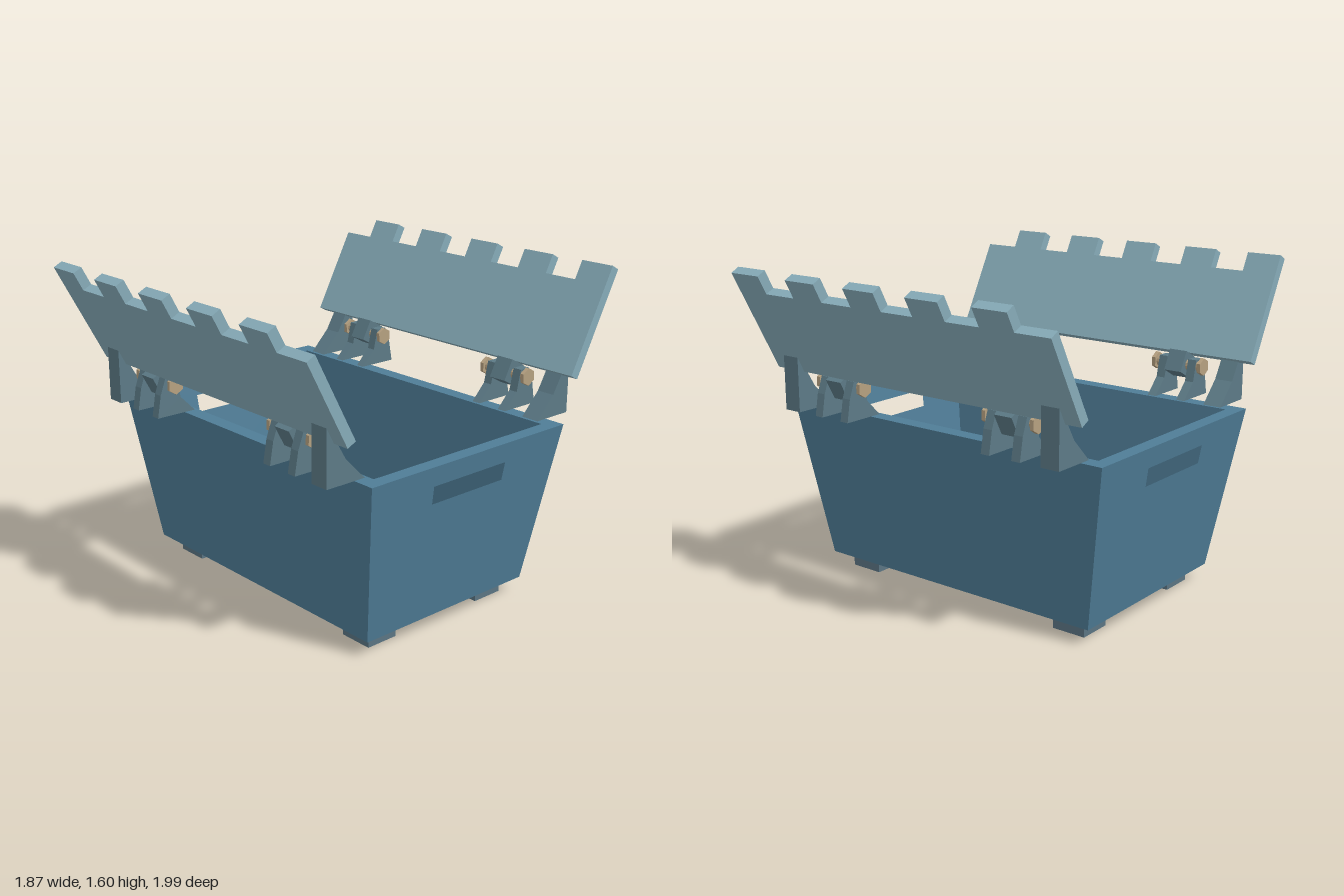
import * as THREE from 'three';

const material = (color) => new THREE.MeshStandardMaterial({ color, flatShading: true });
const BIN = material(0x4f7d97), LID = material(0x86abb8), BRACKET = material(0x5c7a86);
const FOOT = material(0x5a7482), PIN = material(0xb5a080);

function part(name, geometry, mat, parent) {
  const mesh = new THREE.Mesh(geometry, mat);
  mesh.name = name;
  parent.add(mesh);
  return mesh;
}

function box(x0, x1, y0, y1, z0, z1) {
  return new THREE.BoxGeometry(x1 - x0, y1 - y0, z1 - z0)
    .translate((x0 + x1) / 2, (y0 + y1) / 2, (z0 + z1) / 2);
}

// Extrudes a [z, y] outline sideways from x0 to x1, with an optional hole.
function sideProfile(points, x0, x1, hole) {
  const toVectors = (list) => list.map(([z, y]) => new THREE.Vector2(-z, y));
  const shape = new THREE.Shape(toVectors(points));
  if (hole) shape.holes.push(new THREE.Path(toVectors(hole)));
  return new THREE.ExtrudeGeometry(shape, { depth: x1 - x0, bevelEnabled: false })
    .rotateY(Math.PI / 2).translate(x0, 0, 0);
}

const rect = (z, y0, y1) => [[-z, y0], [z, y0], [z, y1], [-z, y1]];

const BASE = 0.08, RIM = 0.89;

// Widens a straight-sided part towards the rim.
function flare(geometry) {
  const p = geometry.attributes.position;
  for (let i = 0; i < p.count; i++) {
    const t = (p.getY(i) - BASE) / (RIM - BASE);
    p.setX(i, p.getX(i) * (1 + 0.1675 * t));
    p.setZ(i, p.getZ(i) * (1 + 0.209 * t));
  }
  geometry.computeVertexNormals();
  return geometry;
}

function makeBin() {
  const bin = new THREE.Group();
  bin.name = 'bin';
  const X = 0.8, Z = 0.513, ix = 0.739, iz = 0.45;
  part('floor', flare(box(-ix, ix, BASE, 0.16, -iz, iz)), BIN, bin);
  for (const s of [1, -1]) {
    const edges = (a, b) => [Math.min(s * a, s * b), Math.max(s * a, s * b)];
    // End wall with its grip slot
    const end = sideProfile(rect(Z, BASE, RIM), ...edges(ix, X), rect(0.196, 0.7, 0.79));
    part('endWall', flare(end), BIN, bin);
    part('longWall', flare(box(-ix, ix, BASE, RIM, ...edges(iz, Z))), BIN, bin);
    for (const t of [1, -1]) {
      part('foot', box(-0.0875, 0.0875, 0, BASE, -0.086, 0.086), FOOT, bin)
        .position.set(s * 0.643, 0, t * 0.356);
    }
  }
  return bin;
}

// Lid panel with five teeth that mesh with the opposite lid
function lidGeometry() {
  const half = 0.91, seg = half / 5, top = 0.56, notch = 0.46;
  const shape = new THREE.Shape();
  shape.moveTo(half, 0).lineTo(half, notch);
  for (let i = 9; i >= 0; i--) {
    const y = i % 2 ? notch : top;
    if (i < 9) shape.lineTo(-half + (i + 1) * seg, y);
    shape.lineTo(-half + i * seg, y);
  }
  shape.lineTo(-half, 0);
  return new THREE.ExtrudeGeometry(shape, { depth: 0.05, bevelEnabled: false })
    .translate(0, 0, -0.025);
}

function rod(radius, length, sides) {
  return new THREE.CylinderGeometry(radius, radius, length, sides).rotateZ(Math.PI / 2);
}

function makeLidAssembly() {
  const assembly = new THREE.Group();
  assembly.name = 'lidAssembly';
  const lid = new THREE.Group();
  lid.name = 'lid';
  lid.position.set(0, 1.096, 0.712);
  lid.rotation.x = THREE.MathUtils.degToRad(28);
  assembly.add(lid);
  part('lidPanel', lidGeometry(), LID, lid);

  const stop = [[0.56, 0.89], [0.775, 0.89], [0.775, 1.16], [0.727, 1.1], [0.668, 1.0]];
  const ear = [[0.56, 0.89], [0.775, 0.89], [0.755, 1.0], [0.725, 1.08], [0.665, 1.08], [0.64, 0.972]];
  for (const s of [1, -1]) {
    const span = (a, b) => (s > 0 ? [a, b] : [-b, -a]);
    // Stops that hold the open lid, and the hinge ears
    part('lidStop', sideProfile(stop, ...span(0.73, 0.825)), BRACKET, assembly);
    part('hingeEar', sideProfile(ear, ...span(0.405, 0.452)), BRACKET, assembly);
    part('hingeEar', sideProfile(ear, ...span(0.573, 0.62)), BRACKET, assembly);
    // Knuckle and pin turn with the lid
    part('hingeKnuckle', box(...span(0.464, 0.56), -0.112, 0, -0.05, 0.05), BRACKET, lid);
    part('hingePin', rod(0.027, 0.26, 12), PIN, lid).position.set(s * 0.512, -0.056, 0);
    for (const x of [0.38, 0.644]) {
      part('pinHead', rod(0.045, 0.02, 6), PIN, lid).position.set(s * x, -0.056, 0);
    }
  }
  return assembly;
}

export function createModel() {
  const model = new THREE.Group();
  model.name = 'lidded storage bin';
  model.add(makeBin());
  const front = makeLidAssembly();
  const back = makeLidAssembly();
  back.rotation.y = Math.PI;
  model.add(front, back);
  return model;
}
